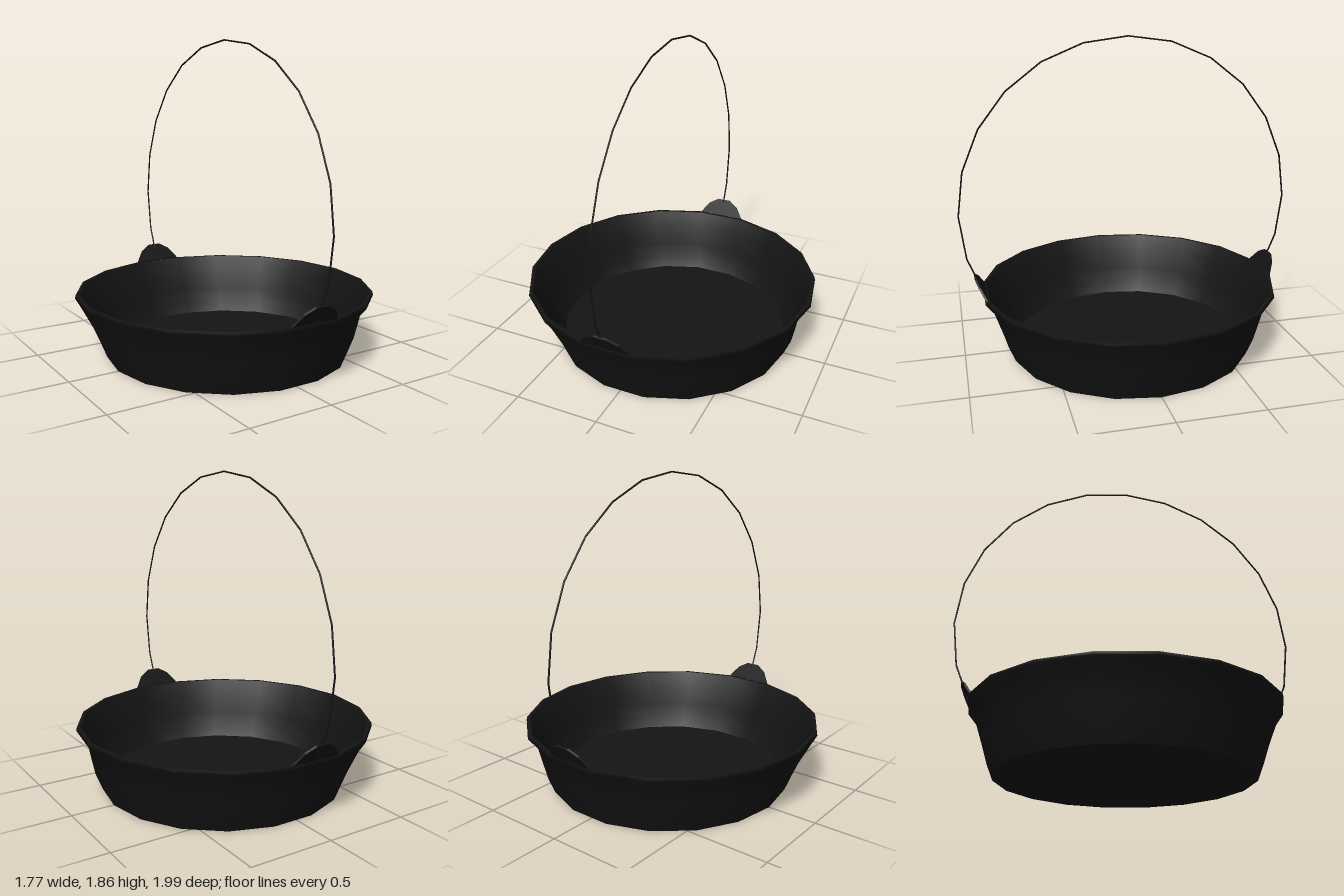
import * as THREE from 'three';

const iron = new THREE.MeshStandardMaterial({ color: 0x141414, side: THREE.DoubleSide });
const SIDES = 18;

// Revolve a profile of [radius, y, sideways shift]; each ring may sit slightly off centre.
function ringSurface(name, rings) {
  const points = rings.map(([r, y]) => new THREE.Vector2(r, y));
  const geometry = new THREE.LatheGeometry(points, SIDES, Math.PI / 2);
  const position = geometry.attributes.position;
  for (let i = 0; i < position.count; i++) {
    position.setX(i, position.getX(i) + rings[i % rings.length][2]);
  }
  const mesh = new THREE.Mesh(geometry, iron);
  mesh.name = name;
  return mesh;
}

export function createModel() {
  const model = new THREE.Group();
  model.name = 'hangingPan';

  // Pan body: underside, outer wall, rim, inner wall and floor
  const pan = new THREE.Group();
  pan.name = 'pan';
  pan.add(
    ringSurface('underside', [[0, 0, 0.02], [0.726, 0, 0.02]]),
    ringSurface('outerWall', [
      [0.726, 0, 0.02], [0.765, 0.096, 0.02], [0.794, 0.185, 0.01],
      [0.837, 0.305, -0.012], [0.886, 0.37, 0], [0.882, 0.39, 0],
    ]),
    ringSurface('rim', [[0.882, 0.39, 0], [0.862, 0.39, 0]]),
    ringSurface('innerWall', [
      [0.862, 0.39, 0], [0.815, 0.305, -0.012], [0.772, 0.185, 0.01],
      [0.743, 0.096, 0.02], [0.7, 0.03, 0.02],
    ]),
    ringSurface('floor', [[0.7, 0.03, 0.02], [0, 0.03, 0.02]]),
  );
  model.add(pan);

  // Lugs: thin rounded tabs leaning outwards above the rim, front and back
  const outline = [[-0.15, 0], [0.15, 0], [0.1, 0.074], [0.04, 0.112], [-0.04, 0.112], [-0.1, 0.074]];
  const lugShape = new THREE.Shape(outline.map(([x, y]) => new THREE.Vector2(x, y)));
  const lugGeometry = new THREE.ExtrudeGeometry(lugShape, { depth: 0.012, bevelEnabled: false });
  lugGeometry.translate(0, 0, -0.012);
  lugGeometry.rotateX(0.5);
  lugGeometry.translate(0, 0.39, 0.869);
  for (const [name, turn] of [['frontLug', 0], ['backLug', Math.PI]]) {
    const lug = new THREE.Mesh(lugGeometry, iron);
    lug.name = name;
    lug.rotation.y = turn;
    model.add(lug);
  }

  // Wire handle: a faceted hoop in 15 degree steps, open at the bottom
  const hoop = new THREE.CurvePath();
  const hoopPoint = (i) => {
    const a = THREE.MathUtils.degToRad(-30 + 15 * i);
    return new THREE.Vector3(0, 0.86 + 0.993 * Math.sin(a), 0.993 * Math.cos(a));
  };
  for (let i = 0; i < 16; i++) hoop.add(new THREE.LineCurve3(hoopPoint(i), hoopPoint(i + 1)));
  const handle = new THREE.Mesh(new THREE.TubeGeometry(hoop, 16, 0.005, 6, false), iron);
  handle.name = 'handle';
  model.add(handle);

  return model;
}
